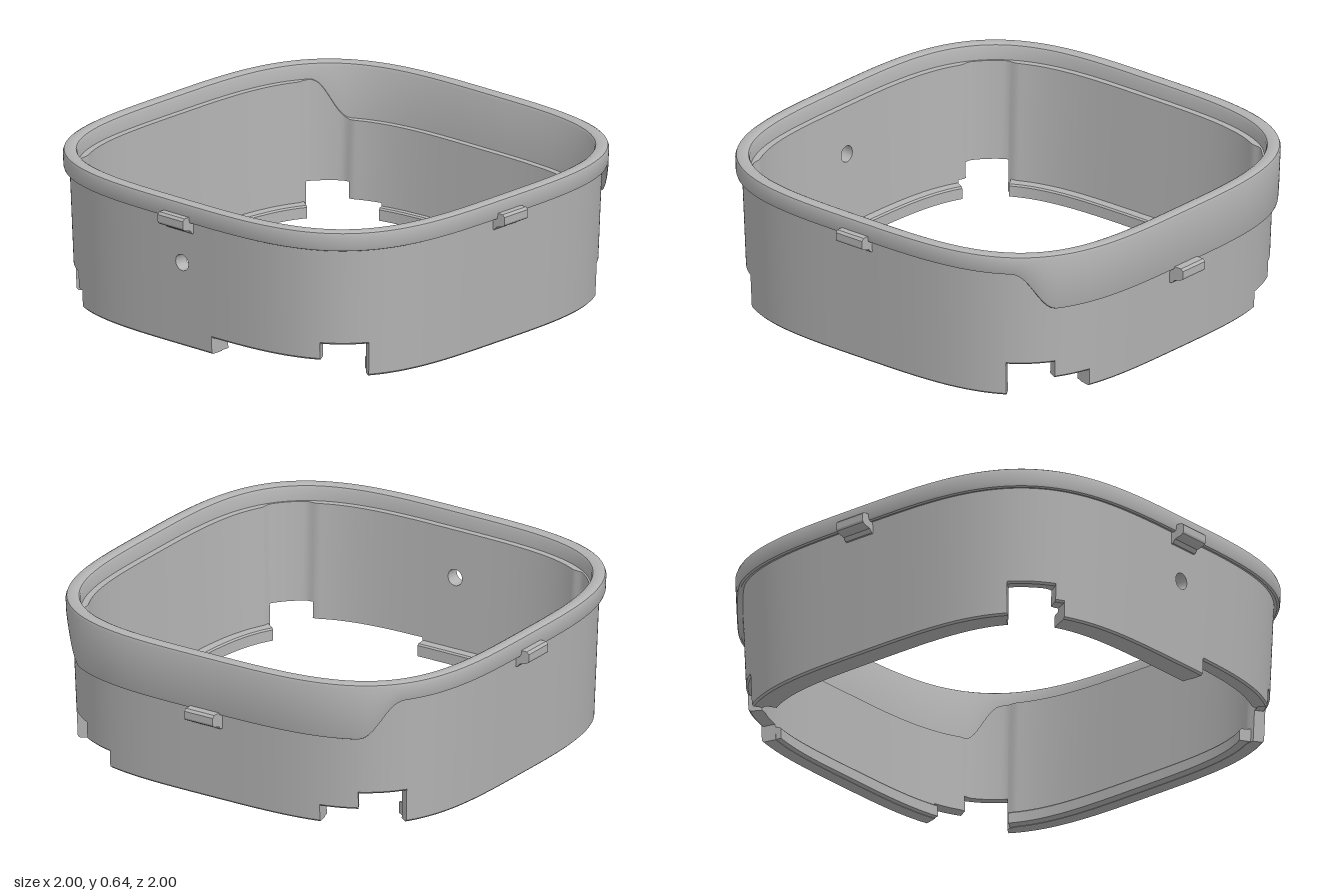
import * as THREE from 'three';
import { mergeGeometries, toCreasedNormals } from 'three/addons/utils/BufferGeometryUtils.js';

const HALF = 0.965, POWER = 3.46, TOP = 0.64, TAPER = 0.04;
const rad = THREE.MathUtils.degToRad;
const smooth = THREE.MathUtils.smootherstep;

// Point on the rounded-square outline at an angle (degrees from +x towards +z), moved inwards
function outline(deg, inset, y) {
  const c = Math.cos(rad(deg)), s = Math.sin(rad(deg));
  const r = HALF / Math.pow(Math.abs(c) ** POWER + Math.abs(s) ** POWER, 1 / POWER);
  const x = r * c, z = r * s;
  const nx = Math.sign(x) * Math.abs(x) ** (POWER - 1);
  const nz = Math.sign(z) * Math.abs(z) ** (POWER - 1);
  const d = (inset + TAPER * (TOP - y)) / Math.hypot(nx, nz);
  return [x - nx * d, y, z - nz * d];
}

// Sweep a closed section(deg) of [inset, y] points along the outline
function sweep(from, to, section, capped = true, minSteps = 2) {
  const steps = Math.max(minSteps, Math.ceil(to - from));
  const pos = [], index = [];
  let n = 0;
  for (let i = 0; i <= steps; i++) {
    const deg = from + (to - from) * i / steps;
    const pts = section(deg);
    n = pts.length;
    for (const [inset, y] of pts) pos.push(...outline(deg, inset, y));
  }
  for (let i = 0; i < steps; i++) {
    for (let j = 0; j < n; j++) {
      const a = i * n + j, b = i * n + (j + 1) % n;
      index.push(a, b, a + n, b, b + n, a + n);
    }
  }
  if (capped) {
    const e = steps * n;
    for (let j = 1; j < n - 1; j++) index.push(0, j + 1, j, e, e + j, e + j + 1);
  }
  const g = new THREE.BufferGeometry();
  g.setAttribute('position', new THREE.Float32BufferAttribute(pos, 3));
  g.setIndex(index);
  return g;
}

// Lower edge of the rim: drops to a deep skirt on the +x side
function rimBottom(deg) {
  const a = Math.abs(((deg + 180) % 360 + 360) % 360 - 180);
  return 0.39 + 0.165 * smooth(a, 38, 49.5);
}

// Inner face of the wall: hollowed out at the four corners
function wallInner(deg) {
  const off = Math.abs(((deg % 90) + 90) % 90 - 45);
  return 0.068 + 0.02 * smooth(off, 4, 8);
}

function rimSection(deg) {
  const b = rimBottom(deg);
  return [
    [0.012, b], [0.003, b + 0.004], [0, b + 0.014], [0, 0.622], [0.005, 0.634], [0.016, TOP],
    [0.044, TOP], [0.055, 0.634], [0.06, 0.622], [0.06, b + 0.012],
  ];
}

// Wall section between two heights
function wallSection(bottom, top) {
  return (deg) => {
    const y0 = bottom(deg), y1 = top(deg), k = wallInner(deg);
    return [[0.033, y0], [0.025, y0 + 0.008], [0.025, y1], [k, y1], [k, y0]];
  };
}

export function createModel() {
  const model = new THREE.Group();
  const grey = new THREE.MeshStandardMaterial({ color: 0xb3b3b3 });
  grey.name = 'grey';
  const add = (name, geometry) => {
    const mesh = new THREE.Mesh(geometry, grey);
    mesh.name = name;
    model.add(mesh);
    return mesh;
  };
  const crease = (g) => toCreasedNormals(g, 0.6);

  // Rim with skirt
  add('rim', crease(sweep(0, 360, rimSection, false)));

  // Wall, with stepped notches along its lower edge: [from, to, bottom height]
  const wallTop = (deg) => rimBottom(deg) + 0.016;
  const panels = [
    [-38.7, -29.7, 0.07], [-29.7, 29.7, 0], [29.7, 38.7, 0.07], [38.7, 50.2, 0.14],
    [50.2, 129.8, 0], [129.8, 141.3, 0.14], [141.3, 171, 0.07], [171, 177.9, 0],
    [182.1, 216.5, 0], [216.5, 218.7, 0.07], [218.7, 230.2, 0.14],
    [230.2, 309.8, 0], [309.8, 321.3, 0.14],
  ];
  const wall = panels.map(([a, b, y]) => sweep(a, b, wallSection(() => y, wallTop)));

  // Round hole in the -x wall, left open between a lower and an upper panel
  const arc = (deg) => 0.035 * Math.sqrt(Math.max(0, 1 - ((deg - 180) / 2.1) ** 2));
  wall.push(sweep(177.9, 182.1, wallSection(() => 0, (d) => 0.365 - arc(d)), true, 24));
  wall.push(sweep(177.9, 182.1, (d) => {
    const y0 = 0.365 + arc(d), y1 = wallTop(d), k = wallInner(d);
    return [[0.025, y0], [0.025, y1], [k, y1], [k, y0]];
  }, true, 24));
  add('wall', crease(mergeGeometries(wall)));

  // Inward lips along the foot of each side: [name, from, to, inner inset]
  const lips = [
    ['frontLip', 51, 129, 0.127], ['backLip', 231, 309, 0.127],
    ['leftLip', -29.6, 29.6, 0.112], ['rightLip', 171.1, 216.4, 0.127],
  ];
  for (const [name, a, b, inner] of lips) {
    add(name, crease(sweep(a, b, () => [
      [0.06, 0.002], [0.06, 0.06], [inner - 0.006, 0.055], [inner, 0.048], [inner, 0.002],
    ])));
  }

  // Snap tabs in the middle of each side: [name, turn about y, drop]
  const profile = new THREE.Shape([
    [0.92, 0.505], [0.942, 0.508], [0.955, 0.523], [0.985, 0.53], [0.997, 0.537],
    [1, 0.545], [1, 0.574], [0.99, 0.584], [0.92, 0.584],
  ].map(([x, y]) => new THREE.Vector2(x, y)));
  const tab = new THREE.ExtrudeGeometry(profile, { depth: 0.14, bevelEnabled: false });
  tab.translate(0, 0, -0.07);
  const tabs = [
    ['leftTab', 0, -0.18], ['backTab', 90, 0], ['rightTab', 180, 0], ['frontTab', -90, 0],
  ];
  for (const [name, turn, drop] of tabs) {
    const mesh = add(name, tab);
    mesh.rotation.y = rad(turn);
    mesh.position.y = drop;
  }
  return model;
}
